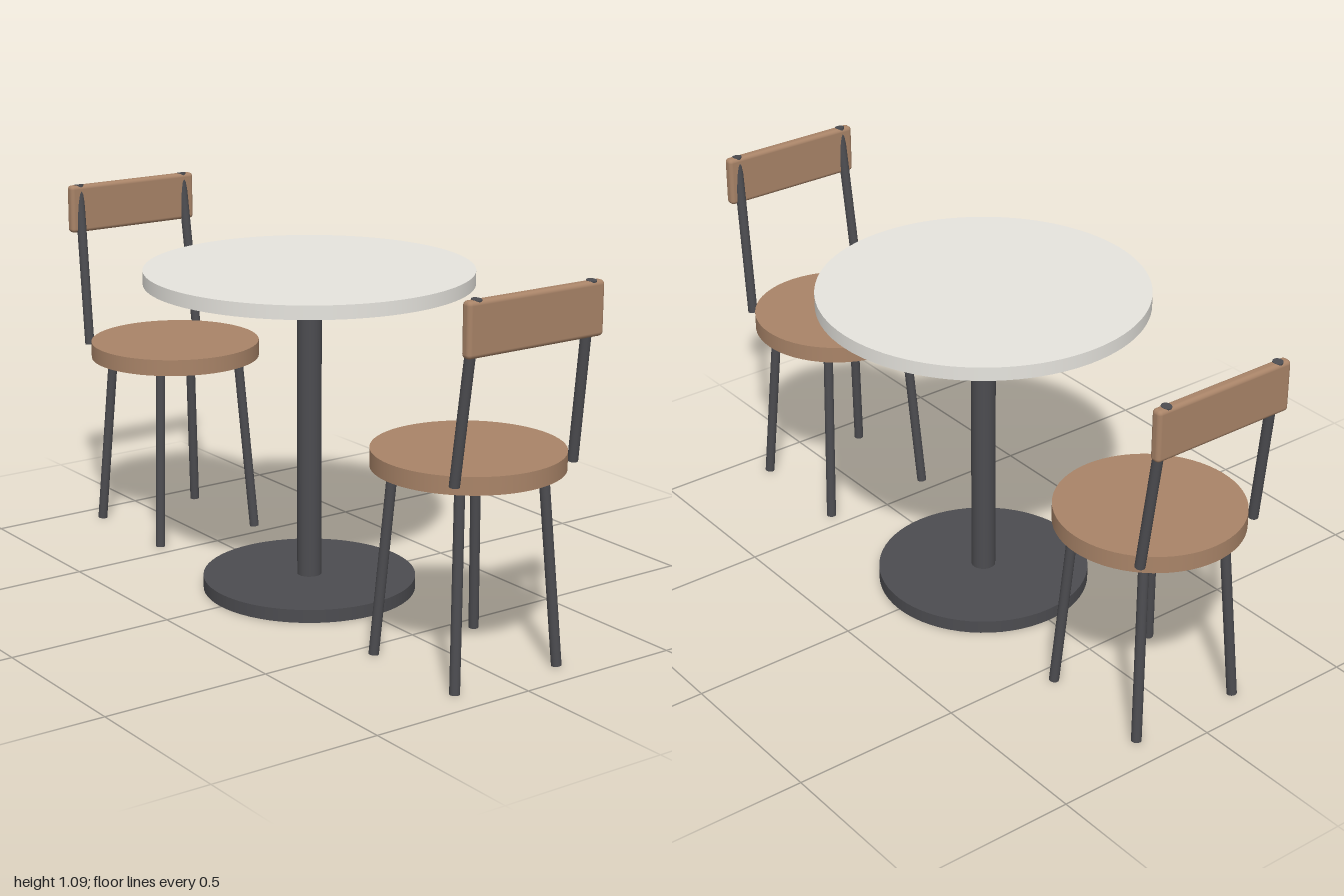
import * as THREE from 'three';
import { RoundedBoxGeometry } from 'three/addons/geometries/RoundedBoxGeometry.js';

const stone = new THREE.MeshStandardMaterial({ color: 0xe6e4de });
const wood = new THREE.MeshStandardMaterial({ color: 0xa98468 });
const metal = new THREE.MeshStandardMaterial({ color: 0x4c4c50 });

// Upright cylinder between two heights
function disc(name, radius, y0, y1, material, segments = 64) {
  const mesh = new THREE.Mesh(new THREE.CylinderGeometry(radius, radius, y1 - y0, segments), material);
  mesh.position.y = (y0 + y1) / 2;
  mesh.name = name;
  return mesh;
}

// Straight metal tube between two points
function rod(name, from, to, radius = 0.0145) {
  const a = new THREE.Vector3(...from);
  const b = new THREE.Vector3(...to);
  const dir = b.clone().sub(a);
  const mesh = new THREE.Mesh(new THREE.CylinderGeometry(radius, radius, dir.length(), 16), metal);
  mesh.position.copy(a).add(b).multiplyScalar(0.5);
  mesh.quaternion.setFromUnitVectors(new THREE.Vector3(0, 1, 0), dir.normalize());
  mesh.name = name;
  return mesh;
}

// Round pedestal table
function createTable() {
  const table = new THREE.Group();
  table.name = 'table';
  table.add(
    disc('tableBase', 0.315, 0, 0.039, metal),
    disc('tableColumn', 0.036, 0.037, 0.921, metal, 32),
    disc('tableTop', 0.478, 0.926, 0.966, stone, 96),
  );
  return table;
}

// Chair centred on its seat, with the backrest towards +z
function createChair(name) {
  const chair = new THREE.Group();
  chair.name = name;
  chair.add(disc('seat', 0.264, 0.556, 0.606, wood));

  for (const sx of [-1, 1]) {
    const side = sx > 0 ? 'Left' : 'Right';
    // Splayed legs
    for (const sz of [-1, 1]) {
      chair.add(rod((sz > 0 ? 'rear' : 'front') + side + 'Leg',
        [sx * 0.177, 0.002, sz * 0.177], [sx * 0.143, 0.557, sz * 0.141]));
    }
    // Leaning backrest post, just outside the seat rim
    chair.add(rod('back' + side + 'Post',
      [sx * 0.201, 0.582, 0.19], [sx * 0.19, 1.084, 0.252]));
  }

  const backrest = new THREE.Mesh(new RoundedBoxGeometry(0.452, 0.149, 0.033, 4, 0.012), wood);
  backrest.position.set(0, 1.0085, 0.2515);
  backrest.name = 'backrest';
  chair.add(backrest);
  return chair;
}

export function createModel() {
  const model = new THREE.Group();
  model.name = 'tableWithChairs';
  model.add(createTable());

  // Two chairs facing each other across the table
  const frontChair = createChair('frontChair');
  frontChair.position.z = 0.732;
  const rearChair = createChair('rearChair');
  rearChair.position.z = -0.732;
  rearChair.rotation.y = Math.PI;
  model.add(frontChair, rearChair);
  return model;
}
